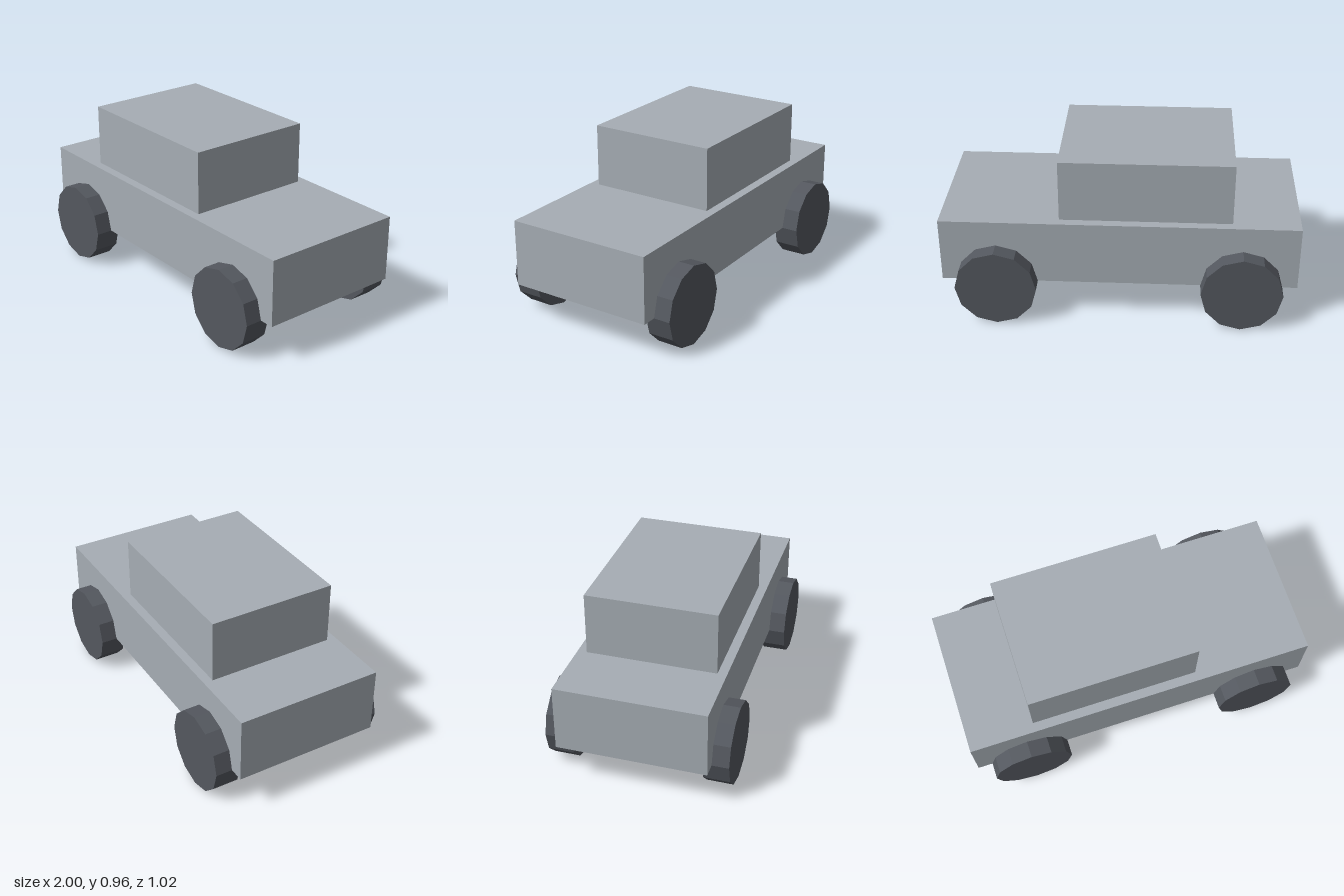
import * as THREE from 'three';

export function createModel() {
  const car = new THREE.Group();
  car.name = 'car';

  const bodyPaint = new THREE.MeshStandardMaterial({ color: 0xa6adb4, flatShading: true });
  bodyPaint.name = 'bodyGrey';
  const tyre = new THREE.MeshStandardMaterial({ color: 0x54585f, flatShading: true });
  tyre.name = 'wheelDarkGrey';

  const add = (name, geometry, material, x, y, z) => {
    const mesh = new THREE.Mesh(geometry, material);
    mesh.name = name;
    mesh.position.set(x, y, z);
    car.add(mesh);
  };

  // Lower body and the cabin standing on it
  add('body', new THREE.BoxGeometry(2, 0.375, 0.833), bodyPaint, 0, 0.417, 0);
  add('cabin', new THREE.BoxGeometry(0.958, 0.355, 0.729), bodyPaint, -0.146, 0.782, 0);

  // Four twelve-sided wheels, axles along z
  const wheel = new THREE.CylinderGeometry(0.229, 0.229, 0.146, 12).rotateX(Math.PI / 2);
  for (const [end, x] of [['Right', -0.687], ['Left', 0.687]]) {
    for (const [side, z] of [['front', 0.4375], ['back', -0.4375]]) {
      add(side + end + 'Wheel', wheel, tyre, x, 0.229, z);
    }
  }
  return car;
}
